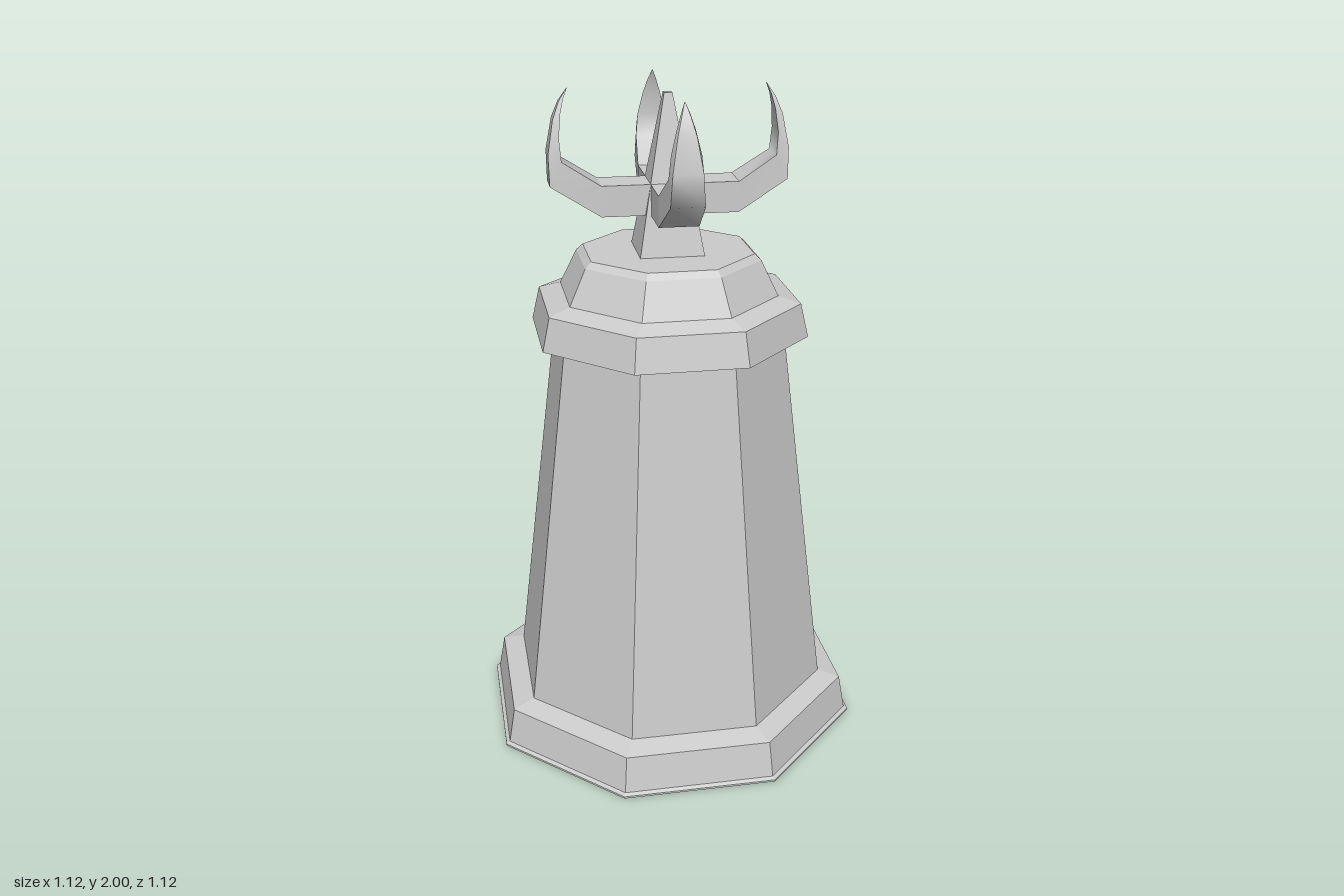
import * as THREE from 'three';

const flat = new THREE.MeshStandardMaterial({ color: 0xcccccc, flatShading: true });
const smooth = new THREE.MeshStandardMaterial({ color: 0xcccccc });
const TWIST = THREE.MathUtils.degToRad(23.5);

function add(parent, name, geometry, material = flat) {
  const mesh = new THREE.Mesh(geometry, material);
  mesh.name = name;
  parent.add(mesh);
  return mesh;
}

// Eight-sided turned part from [radius, height] pairs, listed upward
function octagon(profile) {
  return new THREE.LatheGeometry(profile.map(([r, y]) => new THREE.Vector2(r, y)), 8, TWIST);
}

// Square tapered block from half width a at y0 to half width b at y1
function taperedBlock(a, b, y0, y1) {
  const g = new THREE.CylinderGeometry(b * Math.SQRT2, a * Math.SQRT2, y1 - y0, 4);
  return g.rotateY(Math.PI / 4).translate(0, (y0 + y1) / 2, 0);
}

// Four-sided loft; sections are [innerX, innerY, outerX, outerY, halfWidth].
// Sides keep separate vertices: smooth lengthwise, sharp along the corners.
function loft(sections) {
  const position = [], index = [];
  const corner = ([ix, iy, ox, oy, w], j) =>
    [[ox, oy, w], [ix, iy, w], [ix, iy, -w], [ox, oy, -w]][j % 4];
  for (let side = 0; side < 4; side++) {
    const start = position.length / 3;
    sections.forEach((s, i) => {
      position.push(...corner(s, side), ...corner(s, side + 1));
      if (i === 0) return;
      const a = start + (i - 1) * 2;
      index.push(a, a + 2, a + 3, a, a + 3, a + 1);
    });
  }
  const g = new THREE.BufferGeometry();
  g.setAttribute('position', new THREE.Float32BufferAttribute(position, 3));
  g.setIndex(index);
  g.computeVertexNormals();
  return g;
}

export function createModel() {
  const model = new THREE.Group();
  model.name = 'tower';

  // Stepped foot, tapering shaft and overhanging cap
  add(model, 'base', octagon([[0, 0], [0.602, 0], [0.602, 0.006], [0.59, 0.012],
    [0.57, 0.122], [0.5, 0.14], [0, 0.14]]));
  add(model, 'shaft', octagon([[0.5, 0.14], [0.355, 1.28]]));
  add(model, 'cap', octagon([[0, 1.28], [0.425, 1.28], [0.401, 1.38], [0.333, 1.4],
    [0.28, 1.505], [0.26, 1.523], [0, 1.523]]));

  // Crown: pedestal, centre spike and four upturned horns
  const crown = new THREE.Group();
  crown.name = 'crown';
  model.add(crown);
  add(crown, 'pedestal', taperedBlock(0.095, 0.058, 1.52, 1.73));
  add(crown, 'centreSpike', taperedBlock(0.058, 0.012, 1.73, 1.98));

  const armGeometry = loft([[0, 1.73, 0, 1.64, 0.058], [0.2, 1.73, 0.2, 1.64, 0.058]]);
  const hornGeometry = loft([
    [0.2, 1.73, 0.2, 1.64, 0.058],
    [0.31, 1.8, 0.345, 1.73, 0.048],
    [0.315, 1.865, 0.347, 1.82, 0.042],
    [0.308, 1.93, 0.33, 1.915, 0.026],
    [0.298, 1.97, 0.311, 1.963, 0.013],
    [0.285, 2, 0.286, 2, 0.001],
  ]);
  for (let i = 0; i < 4; i++) {
    const horn = new THREE.Group();
    horn.name = `horn${i + 1}`;
    horn.rotation.y = i * Math.PI / 2;
    add(horn, 'arm', armGeometry);
    add(horn, 'hornTip', hornGeometry, smooth);
    crown.add(horn);
  }
  return model;
}
